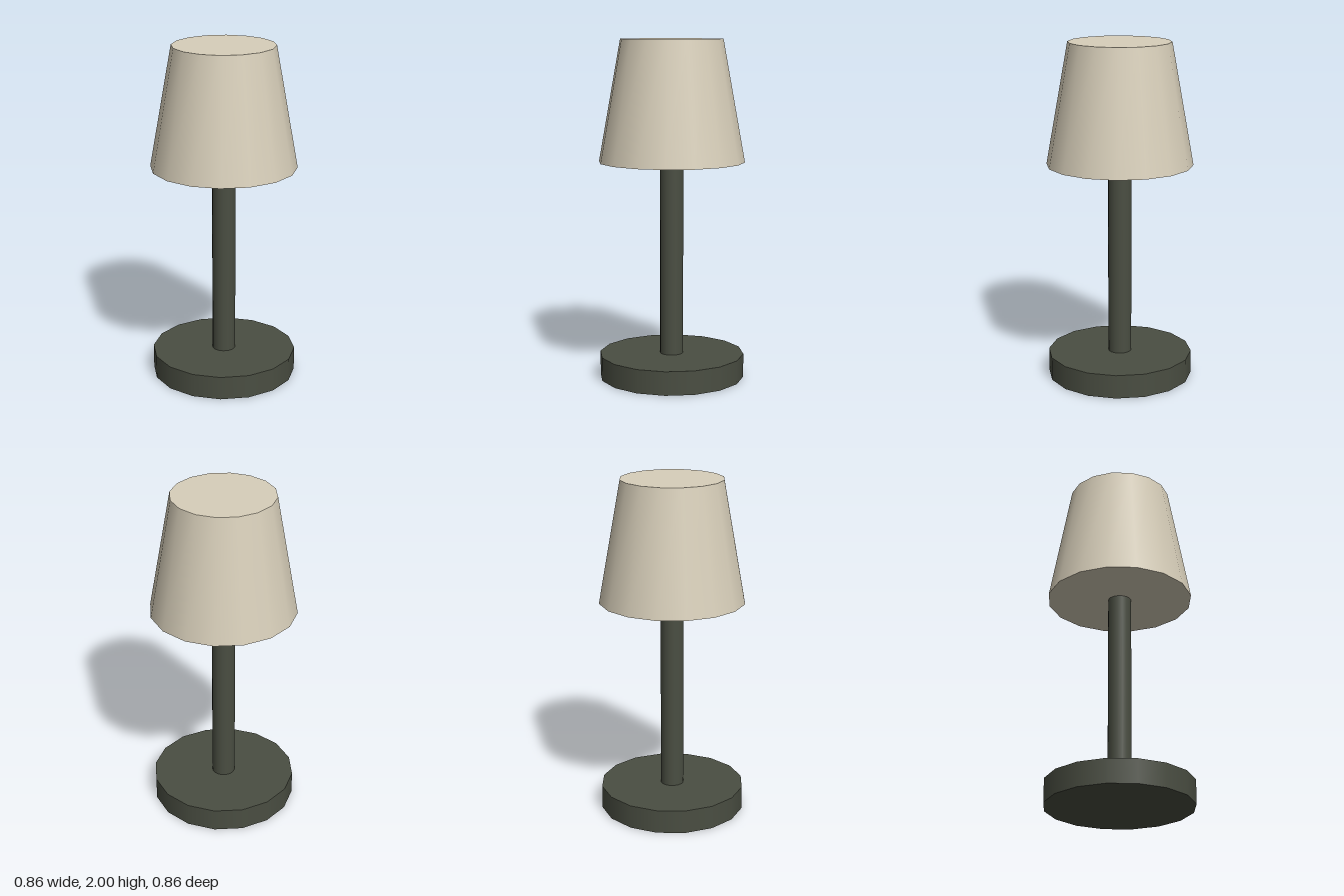
import * as THREE from 'three';

const SIDES = 16;

export function createModel() {
  const model = new THREE.Group();
  const dark = new THREE.MeshStandardMaterial({ color: 0x4a4e42 });
  const cream = new THREE.MeshStandardMaterial({ color: 0xd8cfba });

  // Capped round part standing between two heights
  function addRound(name, topRadius, bottomRadius, bottom, top, material) {
    const geometry = new THREE.CylinderGeometry(topRadius, bottomRadius, top - bottom, SIDES);
    const mesh = new THREE.Mesh(geometry, material);
    mesh.name = name;
    mesh.position.y = (bottom + top) / 2;
    model.add(mesh);
  }

  addRound('base', 0.429, 0.429, 0, 0.14, dark);
  addRound('stem', 0.069, 0.069, 0.14, 1.286, dark);
  addRound('shade', 0.3, 0.429, 1.286, 2, cream);

  return model;
}
